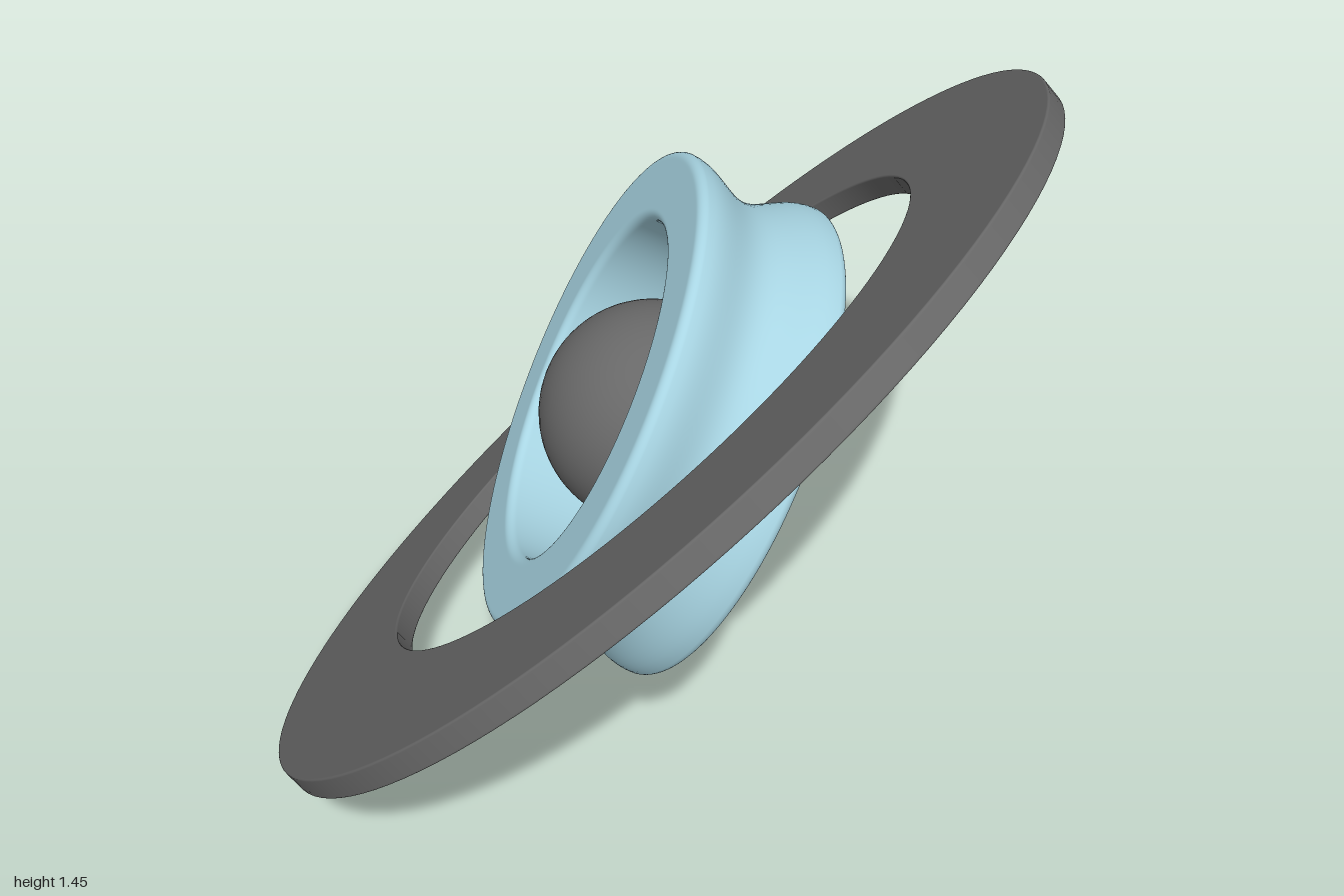
import * as THREE from 'three';

const CENTRE_Y = 0.725;

// Closed, softly rounded ring section: bore -> lower face -> outside (pulled in at the waist) -> upper face -> bore
function ringGeometry(inner, outer, halfWidth, waist, fillet) {
  const pts = [new THREE.Vector2(inner, 0)];
  const dip = outer - waist;
  const outerRadius = (y) => outer - dip * (1 + Math.cos((Math.PI * y) / (halfWidth - fillet))) / 2;

  // Quarter-round corner about (cx, cy); extra end points keep the flats flat
  const corner = (cx, cy, start) => {
    for (let i = 0; i <= 8; i++) {
      const a = start + (i / 8) * Math.PI / 2;
      pts.push(new THREE.Vector2(cx + fillet * Math.cos(a), cy + fillet * Math.sin(a)));
    }
  };
  const y = halfWidth - fillet;
  const flat = fillet * 0.2;

  pts.push(new THREE.Vector2(inner, -y + flat));
  corner(inner + fillet, -y, Math.PI);
  pts.push(new THREE.Vector2(inner + fillet + flat, -halfWidth));
  pts.push(new THREE.Vector2(outer - fillet - flat, -halfWidth));
  corner(outer - fillet, -y, -Math.PI / 2);
  for (let i = 1; i < 20; i++) {
    const h = -y + (2 * y * i) / 20;
    pts.push(new THREE.Vector2(outerRadius(h), h));
  }
  corner(outer - fillet, y, 0);
  pts.push(new THREE.Vector2(outer - fillet - flat, halfWidth));
  pts.push(new THREE.Vector2(inner + fillet + flat, halfWidth));
  corner(inner + fillet, y, Math.PI / 2);
  pts.push(new THREE.Vector2(inner, y - flat));
  pts.push(new THREE.Vector2(inner, 0));
  return new THREE.LatheGeometry(pts, 128);
}

export function createModel() {
  const group = new THREE.Group();
  group.name = 'ringedSphere';

  const grey = new THREE.MeshStandardMaterial({ color: 0x686868 });
  grey.name = 'darkGrey';
  const blue = new THREE.MeshStandardMaterial({ color: 0xa8d5e3 });
  blue.name = 'paleBlue';

  // Adds a part at the common centre, its own y axis turned to the given direction
  const add = (name, geometry, material, axis) => {
    const mesh = new THREE.Mesh(geometry, material);
    mesh.name = name;
    mesh.position.y = CENTRE_Y;
    mesh.quaternion.setFromUnitVectors(new THREE.Vector3(0, 1, 0), axis.normalize());
    group.add(mesh);
  };

  // Core ball
  add('coreSphere', new THREE.SphereGeometry(0.23, 64, 40), grey, new THREE.Vector3(0, 1, 0));

  // Thick inner band with a concave outside
  add('innerBand', ringGeometry(0.36, 0.506, 0.157, 0.46, 0.018), blue,
    new THREE.Vector3(-0.775, 0.45, 0.44));

  // Wide flat outer ring
  add('outerRing', ringGeometry(0.68, 1.0, 0.025, 1.0, 0.004), grey,
    new THREE.Vector3(-0.7, 0.705, 0.08));

  return group;
}
